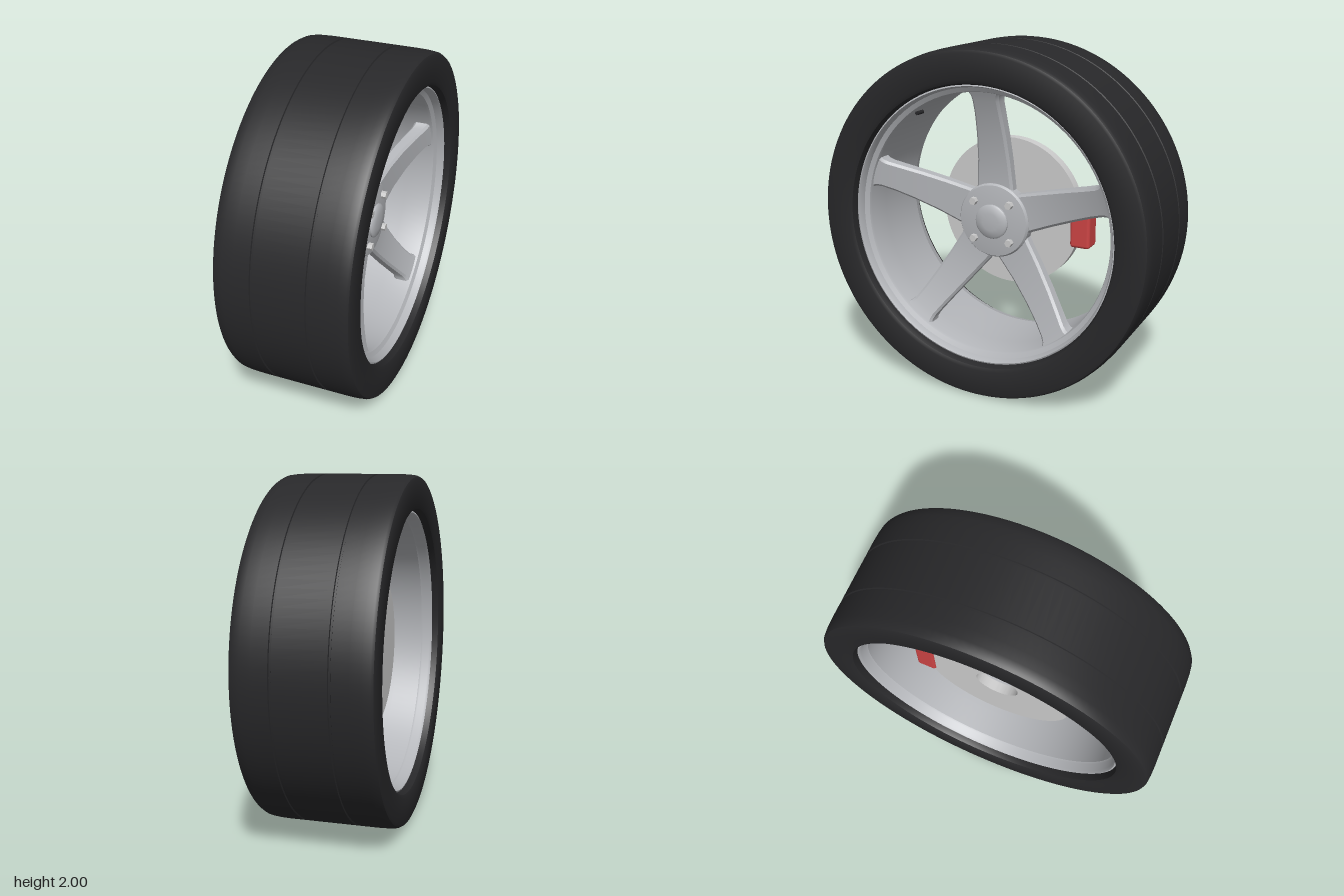
import * as THREE from 'three';
import { toCreasedNormals } from 'three/addons/utils/BufferGeometryUtils.js';
import { RoundedBoxGeometry } from 'three/addons/geometries/RoundedBoxGeometry.js';

const AXLE = 0.995; // height of the wheel's centre
const material = (color) => new THREE.MeshStandardMaterial({ color, side: THREE.DoubleSide });
const rubber = material(0x28282a);
const alloy = material(0xb4b6ba);
const steel = material(0xcccccc);
const red = material(0xcc4444);

// Turned part around the x axle; profile points are [radius, x]
function turned(profile, segments = 96) {
  const g = new THREE.LatheGeometry(profile.map(([r, x]) => new THREE.Vector2(r, x)), segments);
  return g.rotateZ(-Math.PI / 2);
}

function add(parent, name, geometry, mat, x = 0, y = 0, z = 0) {
  const mesh = new THREE.Mesh(geometry, mat);
  mesh.name = name;
  mesh.position.set(x, y, z);
  parent.add(mesh);
  return mesh;
}

// Tyre with two tread grooves, pressed flat where it meets the ground
function tyreGeometry() {
  const half = [
    [0.992, 0.145], [0.992, 0.155], [1, 0.158], [1, 0.25], [0.998, 0.31],
    [0.993, 0.35], [0.985, 0.364], [0.97, 0.37], [0.83, 0.37], [0.81, 0.36], [0.80, 0.33], [0.80, 0.30],
  ];
  const mirrored = half.map(([r, x]) => [r, -x]).reverse();
  const profile = [...mirrored, [1, -0.142], [1, 0.142], ...half, mirrored[0]];
  const g = turned(profile, 128);
  const p = g.attributes.position;
  for (let i = 0; i < p.count; i++) p.setY(i, Math.max(p.getY(i), -AXLE));
  return toCreasedNormals(g, 0.5);
}

// Spoke lofted from chamfered cross-sections along +y, sweeping out to the rim
function spokeGeometry() {
  // radius, half width, front x, thickness
  const stations = [
    [0.10, 0.122, 0.12, 0.07], [0.20, 0.112, 0.12, 0.07], [0.35, 0.1, 0.135, 0.075],
    [0.50, 0.09, 0.165, 0.08], [0.62, 0.083, 0.2, 0.085], [0.70, 0.081, 0.23, 0.09],
    [0.73, 0.086, 0.243, 0.095], [0.755, 0.102, 0.255, 0.1],
  ];
  const c = 0.014;
  const positions = [];
  const index = [];
  stations.forEach(([r, w, front, t]) => {
    const back = front - t;
    const ring = [
      [w, back + c], [w, front - c], [w - c, front], [c - w, front],
      [-w, front - c], [-w, back + c], [c - w, back], [w - c, back],
    ];
    ring.forEach(([z, x]) => positions.push(x, r, z));
  });
  for (let s = 0; s < stations.length - 1; s++) {
    for (let i = 0; i < 8; i++) {
      const a = s * 8 + i, b = s * 8 + (i + 1) % 8;
      index.push(a, b, b + 8, a, b + 8, a + 8);
    }
  }
  const g = new THREE.BufferGeometry();
  g.setAttribute('position', new THREE.Float32BufferAttribute(positions, 3));
  g.setIndex(index);
  return toCreasedNormals(g, 0.5);
}

export function createModel() {
  const model = new THREE.Group();
  model.name = 'wheel';
  const wheel = new THREE.Group();
  wheel.name = 'wheelAssembly';
  wheel.position.y = AXLE;
  model.add(wheel);

  add(wheel, 'tyre', tyreGeometry(), rubber);

  // Rim barrel with a stepped lip on both sides
  add(wheel, 'rim', toCreasedNormals(turned([
    [0.805, -0.30], [0.803, -0.32], [0.79, -0.325], [0.78, -0.31], [0.772, -0.27],
    [0.765, -0.26], [0.755, -0.1], [0.75, 0.1], [0.75, 0.25], [0.755, 0.265],
    [0.78, 0.28], [0.785, 0.31], [0.792, 0.325], [0.803, 0.32], [0.805, 0.30],
  ]), 0.5), alloy);

  // Five spokes
  const spoke = spokeGeometry();
  for (let i = 0; i < 5; i++) {
    add(wheel, 'spoke', spoke, alloy).rotation.x = (i * Math.PI * 2) / 5;
  }

  // Hub and centre cap
  add(wheel, 'hub', toCreasedNormals(turned([
    [0, 0.05], [0.2, 0.05], [0.217, 0.065], [0.217, 0.125], [0.208, 0.138], [0.15, 0.147], [0, 0.152],
  ], 64), 0.5), alloy);
  add(wheel, 'centreCap', toCreasedNormals(turned([
    [0.1, 0.14], [0.1, 0.158], [0.09, 0.167], [0.05, 0.173], [0, 0.175],
  ], 48), 0.6), alloy);

  // Four hexagonal wheel bolts
  const bolt = toCreasedNormals(new THREE.CylinderGeometry(0.022, 0.022, 0.05, 6).rotateZ(-Math.PI / 2), 0.5);
  for (const y of [-0.11, 0.11]) {
    for (const z of [-0.112, 0.112]) add(wheel, 'wheelBolt', bolt, steel, 0.15, y, z);
  }

  // Brake disc with an open centre
  add(wheel, 'brakeDisc', toCreasedNormals(turned([
    [0.13, -0.15], [0.442, -0.15], [0.442, -0.09], [0.13, -0.09], [0.13, -0.15],
  ]), 0.5), steel);

  // Caliper gripping the rear edge of the disc
  add(wheel, 'brakeCaliper', new RoundedBoxGeometry(0.115, 0.31, 0.12, 3, 0.018), red, -0.105, 0, -0.455);

  // Valve stem near the rim
  add(wheel, 'valveStem', new THREE.CylinderGeometry(0.011, 0.011, 0.06, 12).rotateZ(Math.PI / 2), rubber, 0.28, 0.615, 0.38);

  return model;
}
